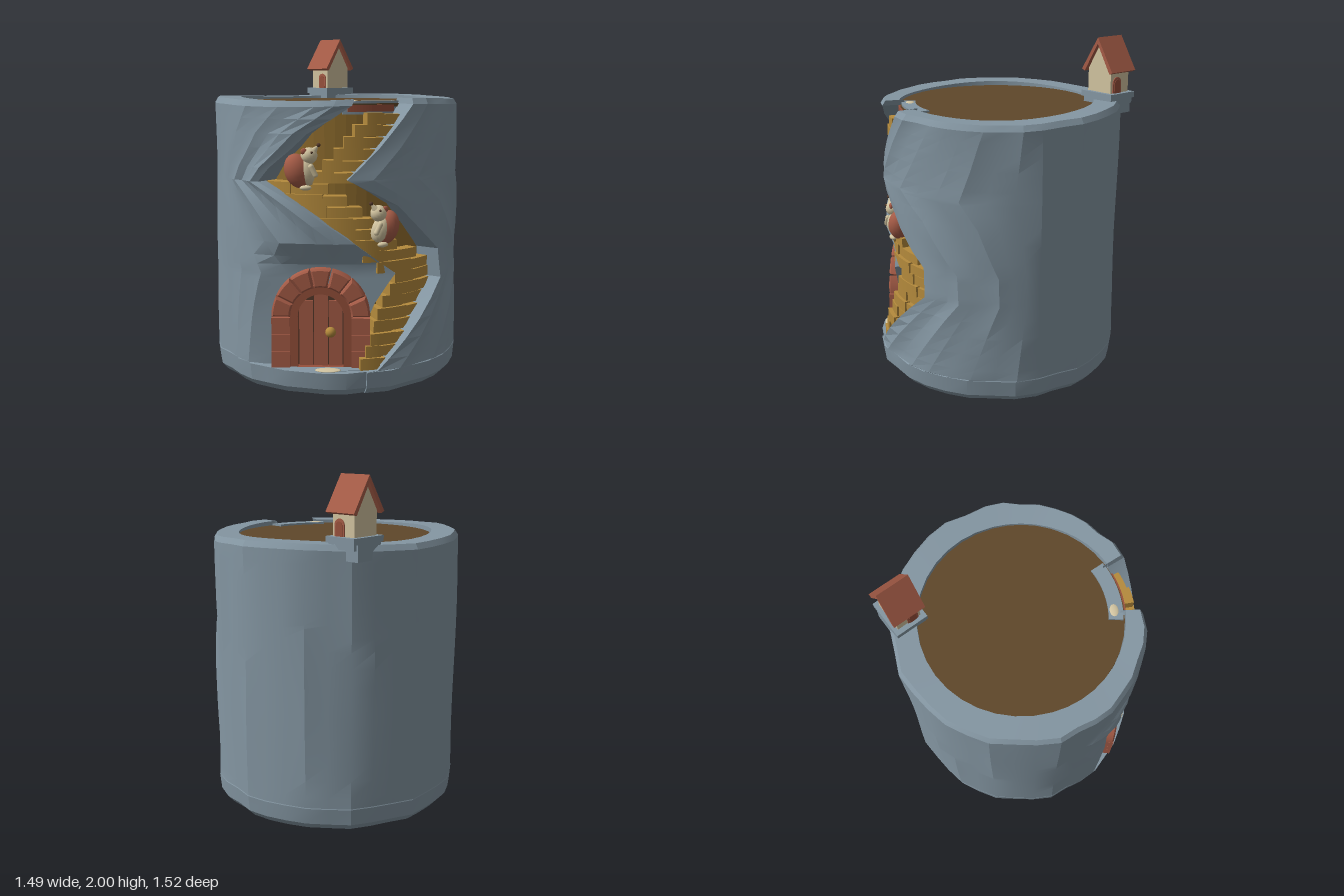
import * as THREE from 'three';
import { toCreasedNormals } from 'three/addons/utils/BufferGeometryUtils.js';

const mat = (name, color) => Object.assign(new THREE.MeshStandardMaterial({ color }), { name });

export function createModel() {
  const model = new THREE.Group();
  model.name = 'stairPlanter';
  const stone = mat('stone', 0x8496a2), soilMat = mat('soil', 0x5f472a), ochre = mat('ochre', 0xb48a3c),
    darkOchre = mat('darkOchre', 0x94702f), brick = mat('brick', 0xa65c47), wood = mat('wood', 0x97503b),
    cream = mat('cream', 0xd2c4a0), dark = mat('dark', 0x54392a);

  const add = (name, geo, material, parent = model, pos = [0, 0, 0], rot = [0, 0, 0], scale = [1, 1, 1]) => {
    const m = new THREE.Mesh(geo, material);
    m.name = name;
    m.position.set(...pos);
    m.rotation.set(...rot);
    m.scale.set(...scale);
    parent.add(m);
    return m;
  };
  const box = (w, h, d) => new THREE.BoxGeometry(w, h, d);
  const ball = (r) => new THREE.SphereGeometry(r, 18, 12);
  const lerpTable = (table, y) => {
    for (let i = 1; i < table.length; i++) {
      const [y0, x0] = table[i - 1], [y1, x1] = table[i];
      if (y <= y1) return x0 + (x1 - x0) * Math.max(0, (y - y0) / (y1 - y0));
    }
    return table[table.length - 1][1];
  };
  const smooth = THREE.MathUtils.smoothstep;

  // Zigzag opening: x of its two edges at height y
  const edgeL = [[0.135, -0.1], [0.14, -0.15], [0.45, -0.05], [0.67, 0.09], [0.95, -0.3], [1.18, -0.6], [1.26, -0.56], [1.45, -0.4], [1.61, -0.16]];
  const edgeR = [[0.135, -0.1], [0.14, -0.04], [0.36, 0.18], [0.6, 0.41], [0.77, 0.4], [1.05, 0.1], [1.2, -0.2], [1.37, -0.02], [1.61, 0.2]];
  const xL = (y) => lerpTable(edgeL, y), xR = (y) => lerpTable(edgeR, y);
  const angleOf = (x, r = 0.7) => Math.asin(THREE.MathUtils.clamp(x / r, -1, 1));

  // Curved block: sector of a ring between two angles (0 = front, + = model's left)
  const arcBlock = (a0, a1, r0, r1, y0, y1) => {
    const s = new THREE.Shape();
    s.absarc(0, 0, r1, a0 - Math.PI / 2, a1 - Math.PI / 2, false);
    s.absarc(0, 0, r0, a1 - Math.PI / 2, a0 - Math.PI / 2, true);
    s.closePath();
    const g = new THREE.ExtrudeGeometry(s, { depth: y1 - y0, bevelEnabled: false, curveSegments: 8 });
    return g.rotateX(-Math.PI / 2).translate(0, y0, 0);
  };

  // Pot shell: rows of points running round the back from one edge of the opening to the other
  const rows = [[0, 0], [0, 0.69], [0.04, 0.727], [0.135, 0.737]];
  for (const y of [0.14, 0.2, 0.3, 0.4, 0.5, 0.6, 0.64, 0.67, 0.72, 0.77, 0.85, 0.95, 1.05, 1.12, 1.18, 1.2, 1.26, 1.37, 1.45, 1.53, 1.6])
    rows.push([y, 0.735]);
  rows.push([1.632, 0.715], [1.63, 0.58], [1.56, 0.575]);
  const N = 36, pos = [], idx = [];
  rows.forEach(([y, base]) => {
    const aR = angleOf(xR(y)), aL = angleOf(xL(y));
    for (let j = -1; j <= N + 1; j++) {
      const t = THREE.MathUtils.clamp(j / N, 0, 1);
      const a = 2 * Math.PI * t + aR * Math.max(0, 1 - 4 * t) + aL * Math.max(0, 4 * t - 3);
      let r = base;
      if (base > 0.6) {
        r += 0.007 * Math.sin(j * 2.4) + 0.006 * Math.sin(j * 1.7 + y * 4);
        r -= 0.045 * smooth(y, 0.3, 0.8) * Math.max(0, Math.cos(a)) ** 2;
        // flat niche for the door
        const plane = 0.64 / Math.max(0.3, Math.cos(a) - 0.42 * Math.sin(a));
        if (t > 0.7 && y >= 0.14) r += (Math.min(r, plane) - r) * (1 - smooth(y, 0.68, 0.88));
      }
      if (j < 0 || j > N) r = Math.min(r, 0.55);
      const wob = y > 1.55 ? 0.007 * Math.sin(a * 3 + 1) : 0;
      pos.push(r * Math.sin(a), y + wob, r * Math.cos(a));
    }
  });
  const W = N + 3;
  for (let i = 0; i < rows.length - 1; i++)
    for (let j = 0; j < W - 1; j++) {
      const a = i * W + j, b = a + 1, c = b + W, d = a + W;
      if (i > 0) idx.push(a, b, c);
      idx.push(a, c, d);
    }
  const shell = new THREE.BufferGeometry();
  shell.setAttribute('position', new THREE.Float32BufferAttribute(pos, 3));
  shell.setIndex(idx);
  add('potWall', toCreasedNormals(shell, 0.3), stone);
  add('soil', new THREE.CylinderGeometry(0.585, 0.585, 0.02, 40), soilMat, model, [0, 1.6, -0.01]);

  // Recess behind the stairs, the rim bridging it and the top sill
  add('stairBackWall', arcBlock(-1.02, 0.66, 0.53, 0.565, 0.1, 1.59), darkOchre);
  add('rimBridge', arcBlock(-0.32, 0.33, 0.485, 0.567, 1.55, 1.622), stone);
  add('topSill', arcBlock(-0.27, 0.2, 0.55, 0.585, 1.565, 1.602), wood);
  add('stairFloor', arcBlock(-0.5, 0.1, 0.5, 0.7, 0.08, 0.139), stone);

  // Three flights of steps: each layer reaches from the lower edge to its nosing
  const stairs = new THREE.Group();
  stairs.name = 'stairs';
  model.add(stairs);
  [[0.14, 0.67, 8, 1, 0.12], [0.67, 1.18, 8, -1, 0.55], [1.18, 1.56, 6, 1, 0.5]].forEach(([y0, y1, n, dir, cover]) => {
    const h = (y1 - y0) / n;
    for (let i = 0; i < n; i++) {
      const lo = y0 + i * h, mid = lo + h / 2, L = xL(mid), R = xR(mid);
      const k = dir > 0 ? cover * Math.min(1, (i + 1) / 2) : cover + 0.4 * Math.max(0, 1 - i / 2);
      const nose = L + (R - L) * k;
      const [x0, x1] = dir > 0 ? [nose, R + 0.06] : [L - 0.06, nose];
      const r1 = 0.715 - 0.06 * smooth(lo, 0.15, 0.5) - 0.008 * (i % 2);
      const split = x0 + (x1 - x0) * (i % 2 ? 0.4 : 0.6);
      // two bricks per step, one standing slightly proud
      add('step', arcBlock(angleOf(x0), angleOf(split), 0.54, r1, lo, lo + h), ochre, stairs);
      add('step', arcBlock(angleOf(split), angleOf(x1), 0.54, r1 - 0.012, lo, lo + h - 0.008), ochre, stairs);
    }
  });

  // Arched door with brick surround
  const door = new THREE.Group();
  door.name = 'door';
  door.position.set(-0.29, 0.14, 0.5);
  door.rotation.y = -0.4;
  model.add(door);
  const extrude = (shape, depth, bevel = 0) => new THREE.ExtrudeGeometry(shape, {
    depth, bevelEnabled: bevel > 0, bevelSize: bevel, bevelThickness: bevel, bevelOffset: -bevel, bevelSegments: 1, curveSegments: 8 });
  const cy = 0.29;
  for (let i = 0; i < 7; i++) {
    const s = new THREE.Shape(), a0 = i * Math.PI / 7 + 0.012, a1 = (i + 1) * Math.PI / 7 - 0.012;
    s.absarc(0, cy, 0.275, a0, a1, false);
    s.absarc(0, cy, 0.17, a1, a0, true);
    s.closePath();
    add('archBrick', extrude(s, 0.075, 0.01), brick, door);
  }
  for (const side of [-1, 1])
    for (let i = 0; i < 3; i++)
      add('jambBrick', box(0.103, 0.093, 0.09), brick, door, [side * 0.223, 0.048 + i * 0.096, 0.04]);
  const archShape = (w, top) => {
    const s = new THREE.Shape();
    s.moveTo(-w, 0);
    s.lineTo(w, 0);
    s.absarc(0, top, w, 0, Math.PI, false);
    s.closePath();
    return s;
  };
  const frame = archShape(0.18, cy);
  frame.holes.push(archShape(0.128, cy));
  add('doorFrame', extrude(frame, 0.065), wood, door);
  add('doorGaps', extrude(archShape(0.14, cy), 0.022), dark, door);
  for (let i = -1; i <= 1; i++) {
    const top = i === 0 ? 0.415 : 0.375;
    add('doorPlank', box(0.078, top, 0.02), brick, door, [i * 0.083, top / 2, 0.026]);
  }
  add('doorKnob', ball(0.03), ochre, door, [0.055, 0.2, 0.06]);
  add('doormat', ball(0.06), cream, model, [-0.3, 0.142, 0.63], [0, -0.4, 0], [1.2, 0.12, 0.6]);
  add('topPebble', ball(0.05), cream, model, [-0.11, 1.615, 0.505], [0, -0.2, 0], [0.9, 0.25, 0.6]);

  // Hedgehogs climbing the stairs; dir is the side they look towards
  const hedgehog = (name, x, y, z, dir, turn) => {
    const g = new THREE.Group();
    g.name = name;
    g.position.set(x, y, z);
    g.rotation.y = turn;
    model.add(g);
    add('spines', ball(0.082), brick, g, [0, 0, 0], [0, 0, dir * 0.35], [0.9, 1.2, 0.85]);
    add('belly', ball(0.06), cream, g, [dir * 0.045, -0.005, 0.012], [0, 0, dir * 0.3], [0.85, 1.3, 0.9]);
    add('head', ball(0.046), cream, g, [dir * 0.06, 0.085, 0.02]);
    add('snout', new THREE.ConeGeometry(0.036, 0.08, 14), cream, g, [dir * 0.088, 0.115, 0.026], [0, 0, -dir * 0.7]);
    add('nose', ball(0.011), dark, g, [dir * 0.112, 0.143, 0.028]);
    add('eye', ball(0.007), dark, g, [dir * 0.072, 0.105, 0.062]);
    add('ear', ball(0.018), brick, g, [dir * 0.03, 0.11, 0.045], [0, 0, 0], [1, 1, 0.5]);
    add('arm', new THREE.CapsuleGeometry(0.015, 0.05, 4, 8), cream, g, [dir * 0.08, 0.005, 0.055], [0, 0, dir * 0.5]);
    for (const dz of [-0.03, 0.035])
      add('foot', ball(0.025), cream, g, [dir * 0.04, -0.09, dz], [0, 0, 0], [1.3, 0.6, 0.8]);
  };
  hedgehog('upperHedgehog', -0.42, 1.245, 0.49, 1, -0.3);
  hedgehog('lowerHedgehog', 0.05, 0.925, 0.625, -1, 0.1);

  // Small house on the rim; its ridge runs along local z
  const house = new THREE.Group();
  house.name = 'house';
  house.position.set(0.205, 1.62, -0.635);
  house.rotation.y = 0.36;
  model.add(house);
  add('houseBase', box(0.24, 0.035, 0.2), stone, house, [0, 0.04, 0]);
  add('houseBaseLower', box(0.18, 0.11, 0.09), stone, house, [0, -0.015, -0.055]);
  add('houseFooting', box(0.22, 0.04, 0.18), stone, house, [0, 0.01, 0]);
  const wall = new THREE.Shape([[-0.09, 0.055], [0.09, 0.055], [0.09, 0.2], [0, 0.35], [-0.09, 0.2]].map((p) => new THREE.Vector2(...p)));
  add('houseWalls', extrude(wall, 0.15).translate(0, 0, -0.075), cream, house);
  for (const side of [-1, 1]) {
    const roof = new THREE.Shape([[0, 0.38], [side * 0.122, 0.185], [side * 0.1, 0.175], [0, 0.342]].map((p) => new THREE.Vector2(...p)));
    add('roofSlope', extrude(roof, 0.2).translate(0, 0, -0.1), brick, house);
    // little arched side doors
    const frameGeo = extrude(archShape(0.034, 0.06), 0.008).rotateY(side * Math.PI / 2);
    add('sideDoorFrame', frameGeo, brick, house, [side * 0.088, 0.058, 0.025]);
    const leafGeo = extrude(archShape(0.022, 0.057), 0.008).rotateY(side * Math.PI / 2);
    add('sideDoorLeaf', leafGeo, wood, house, [side * 0.091, 0.058, 0.025]);
  }
  return model;
}
